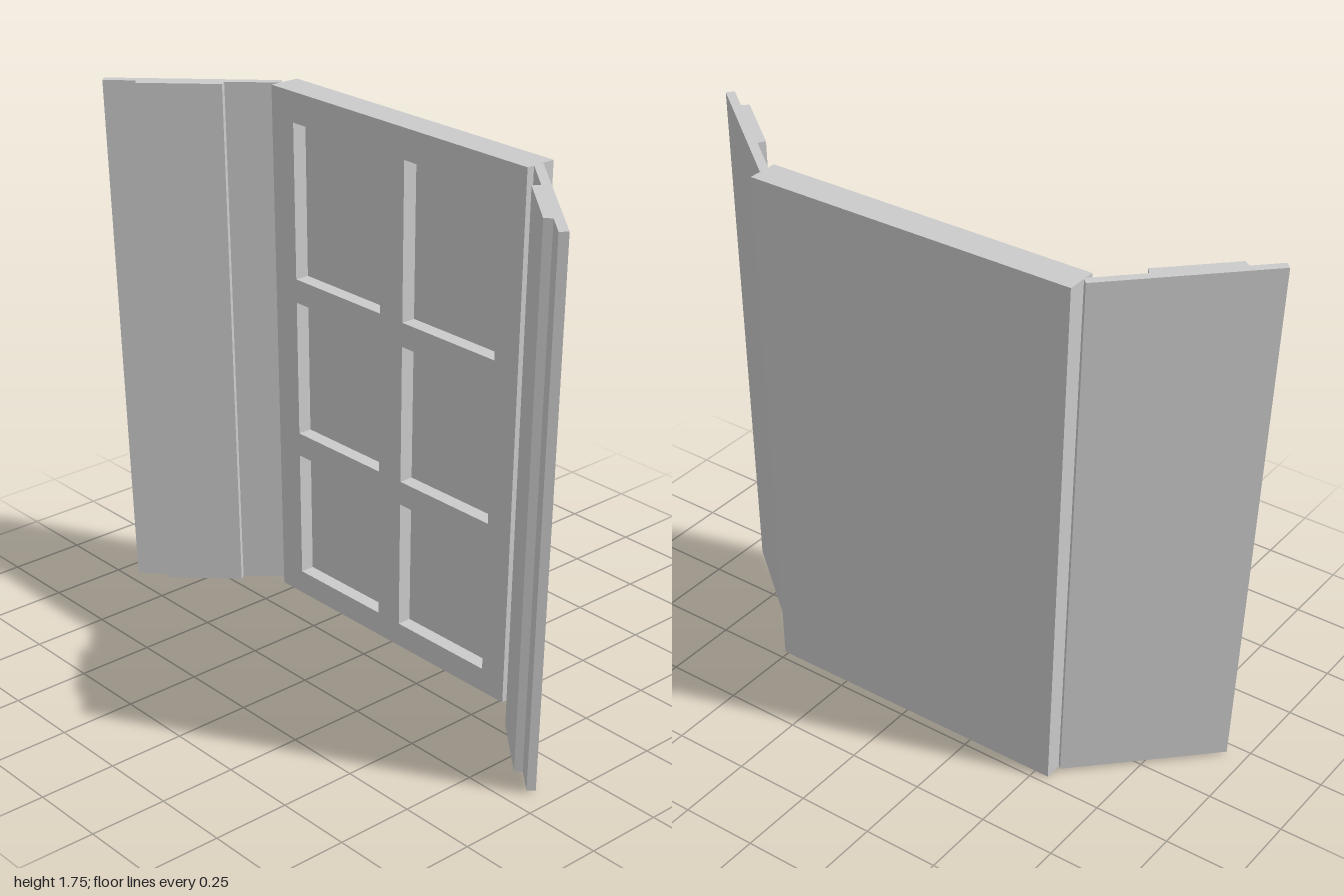
import * as THREE from 'three';

const HEIGHT = 1.75;
const material = new THREE.MeshStandardMaterial({ color: 0xcccccc, flatShading: true });

// Everything narrows evenly towards the floor.
function taperedMesh(name, geometry) {
  const g = geometry.index ? geometry.toNonIndexed() : geometry;
  const p = g.attributes.position;
  for (let i = 0; i < p.count; i++) {
    const k = 0.94 + 0.06 * (p.getY(i) / HEIGHT);
    p.setX(i, p.getX(i) * k);
    p.setZ(i, p.getZ(i) * k);
  }
  g.computeVertexNormals();
  const mesh = new THREE.Mesh(g, material);
  mesh.name = name;
  return mesh;
}

function rectangle(PathType, u0, v0, u1, v1) {
  const path = new PathType();
  path.moveTo(u0, v0);
  path.lineTo(u1, v0);
  path.lineTo(u1, v1);
  path.lineTo(u0, v1);
  path.closePath();
  return path;
}

// Angled wing with a raised band on its inner face, drawn in plan [x, z].
function wing(name, tip, hinge, inward) {
  const [dx, dz] = [hinge[0] - tip[0], hinge[1] - tip[1]];
  const length = Math.hypot(dx, dz);
  const dir = [dx / length, dz / length];
  const normal = [-dir[1] * inward, dir[0] * inward];
  const profile = [
    [0, 0], [length, 0], [length, 0.029], [0.387, 0.029],
    [0.383, 0.056], [0.11, 0.056], [0.106, 0.029], [0, 0.029],
  ];
  const plan = profile.map(([s, t]) => new THREE.Vector2(
    tip[0] + dir[0] * s + normal[0] * t,
    -(tip[1] + dir[1] * s + normal[1] * t),
  ));
  const bottom = 0.01;
  const g = new THREE.ExtrudeGeometry(new THREE.Shape(plan), {
    depth: HEIGHT - bottom, bevelEnabled: false,
  });
  g.rotateX(-Math.PI / 2).translate(0, bottom, 0);
  return taperedMesh(name, g);
}

export function createModel() {
  const model = new THREE.Group();
  model.name = 'foldingPanel';

  const z0 = -0.583, z1 = 0.545;
  const inner = 0.13, recess = 0.18, outer = 0.235;

  // Solid outer slab of the middle panel
  const slab = new THREE.BoxGeometry(outer - recess, HEIGHT, z1 - z0);
  slab.translate((outer + recess) / 2, HEIGHT / 2, (z0 + z1) / 2);
  model.add(taperedMesh('middleSlab', slab));

  // Inner lattice with two columns and three rows of recesses
  const lattice = rectangle(THREE.Shape, z0, 0, z1, HEIGHT);
  for (const [a, b] of [[-0.48, -0.07], [0.035, 0.445]]) {
    for (const [low, high] of [[0.08, 0.51], [0.59, 1.05], [1.13, 1.65]]) {
      lattice.holes.push(rectangle(THREE.Path, a, low, b, high));
    }
  }
  const frame = new THREE.ExtrudeGeometry(lattice, { depth: recess - inner, bevelEnabled: false });
  frame.rotateY(-Math.PI / 2).translate(recess, 0, 0);
  model.add(taperedMesh('middleLattice', frame));

  // Side wings
  model.add(wing('backWing', [-0.215, -1.0], [0.188, -0.6], 1));
  model.add(wing('frontWing', [-0.174, 0.998], [0.19, 0.549], -1));

  return model;
}
